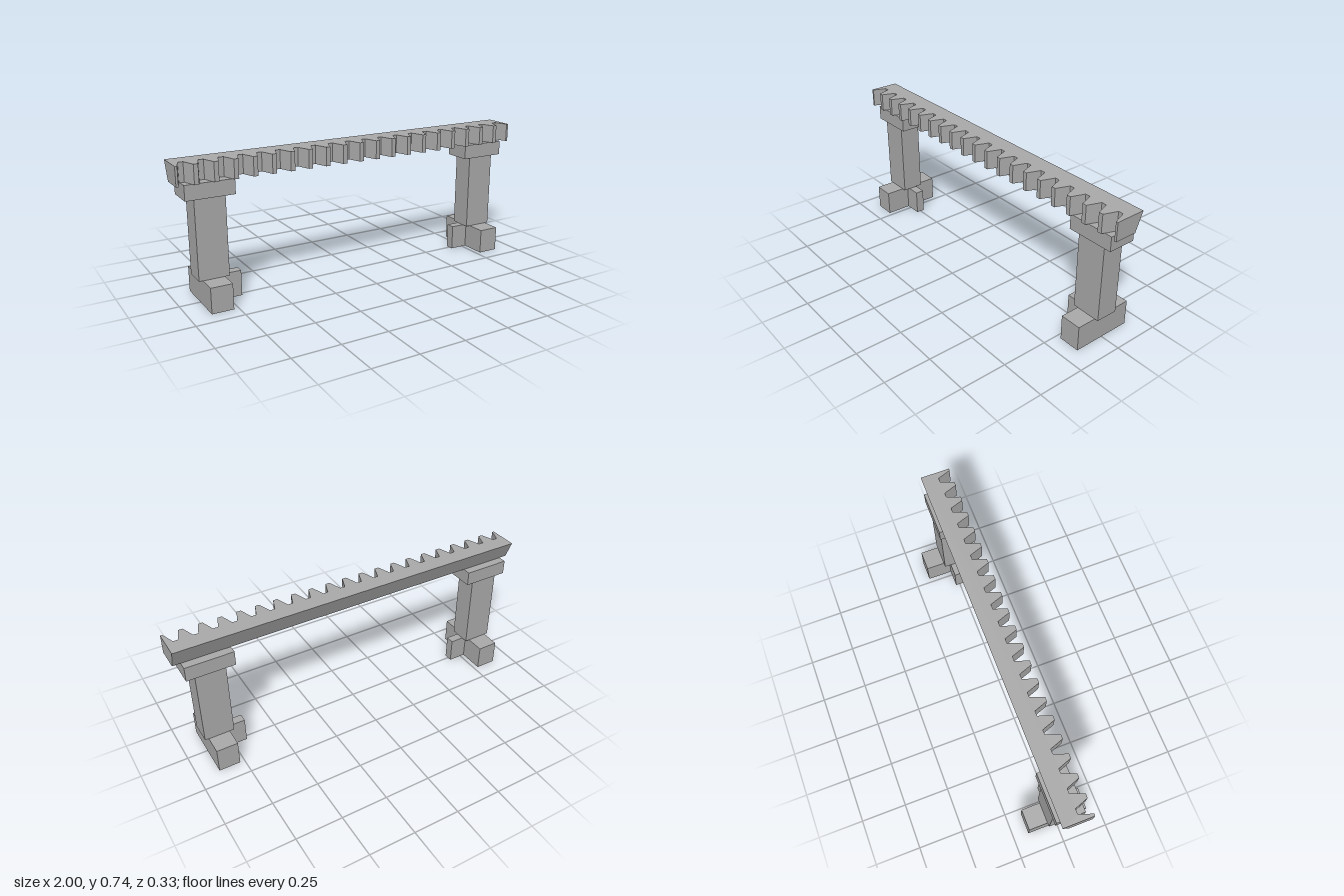
import * as THREE from 'three';

const stone = new THREE.MeshStandardMaterial({ color: 0xaaaaaa });
stone.name = 'grey';

// Box given by its minimum and maximum corners
function block(name, [x0, y0, z0], [x1, y1, z1]) {
  const geometry = new THREE.BoxGeometry(x1 - x0, y1 - y0, z1 - z0);
  geometry.translate((x0 + x1) / 2, (y0 + y1) / 2, (z0 + z1) / 2);
  const mesh = new THREE.Mesh(geometry, stone);
  mesh.name = name;
  return mesh;
}

// Toothed rail: plan outline raised upwards, its back face sloping in at the bottom
function createRack() {
  const tip = 0.092, root = 0.02, back = -0.07, backBottom = -0.03;
  const pitch = 0.1, teeth = 20, tipHalf = 0.0115, rootHalf = 0.013;
  const outline = [[-1, back], [-1, tip]];
  for (let i = 0; i < teeth; i++) {
    const x = -1 + i * pitch, mid = x + pitch / 2;
    outline.push([x + tipHalf, tip], [mid - rootHalf, root],
      [mid + rootHalf, root], [x + pitch - tipHalf, tip]);
  }
  outline.push([1, tip], [1, back]);
  const shape = new THREE.Shape(outline.map(([x, z]) => new THREE.Vector2(x, -z)));
  const geometry = new THREE.ExtrudeGeometry(shape, { depth: 0.1, bevelEnabled: false });
  geometry.rotateX(-Math.PI / 2);
  const p = geometry.attributes.position;
  for (let i = 0; i < p.count; i++) {
    if (p.getZ(i) < -0.06 && p.getY(i) < 0.05) p.setZ(i, backBottom);
  }
  geometry.computeVertexNormals();
  geometry.translate(0, 0.637, 0);
  const mesh = new THREE.Mesh(geometry, stone);
  mesh.name = 'toothedRail';
  return mesh;
}

// Support with a T-shaped foot whose stub points to the middle
function createSupport(name, side) {
  const group = new THREE.Group();
  group.name = name;
  const add = (part, xa, xb, y0, y1, halfZ) => {
    const [x0, x1] = [xa * side, xb * side].sort((a, b) => a - b);
    group.add(block(part, [x0, y0, -halfZ], [x1, y1, halfZ]));
  };
  add('footBar', 0.775, 0.89, 0, 0.137, 0.165);
  add('footStub', 0.675, 0.775, 0, 0.137, 0.024);
  add('post', 0.75, 0.91, 0.137, 0.558, 0.06);
  add('cap', 0.703, 0.958, 0.558, 0.637, 0.075);
  return group;
}

export function createModel() {
  const model = new THREE.Group();
  model.name = 'rackOnSupports';
  model.add(createRack(), createSupport('leftSupport', 1), createSupport('rightSupport', -1));
  return model;
}
